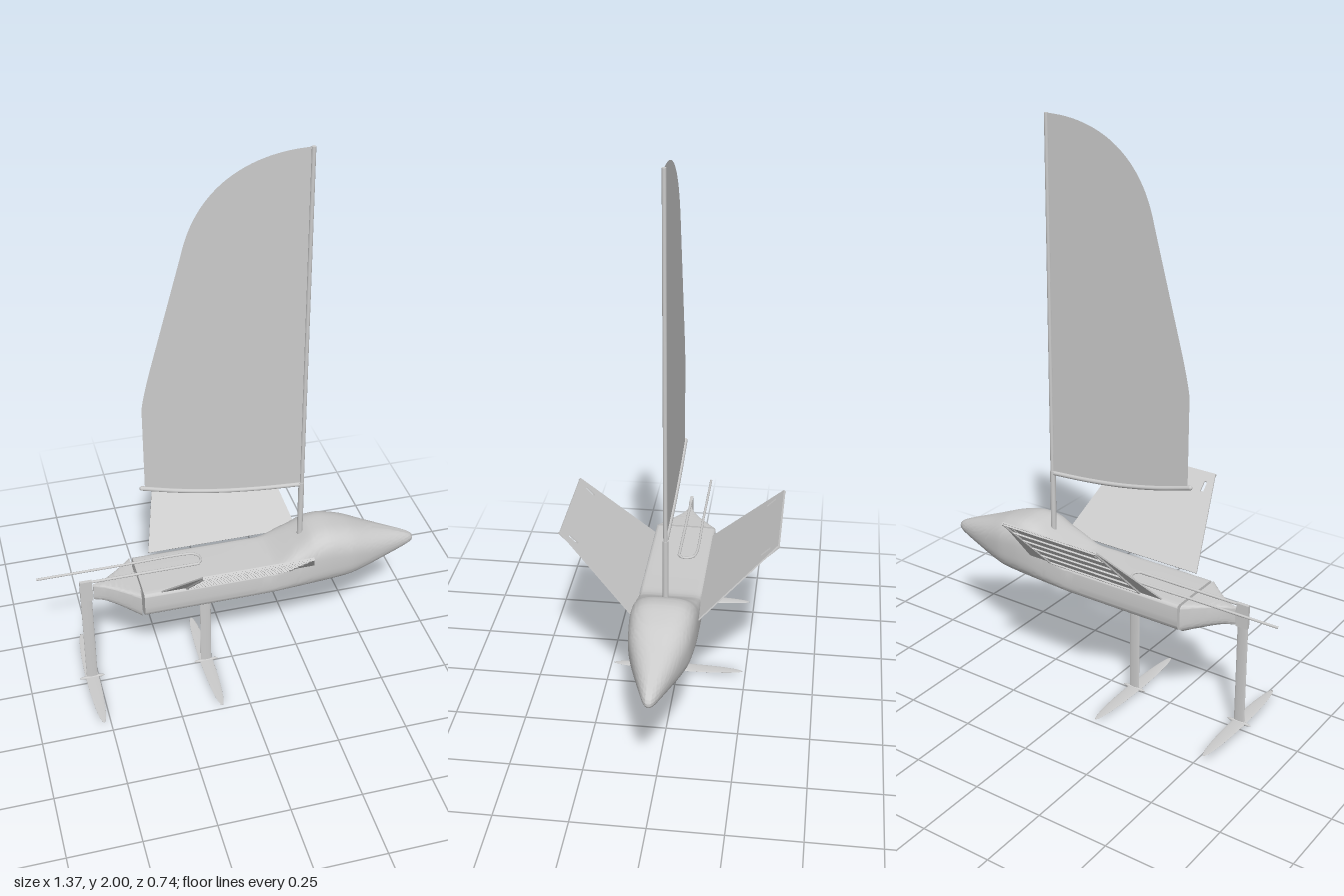
import * as THREE from 'three';
import { toCreasedNormals } from 'three/addons/utils/BufferGeometryUtils.js';

const grey = new THREE.MeshStandardMaterial({ color: 0xcccccc });
const thin = new THREE.MeshStandardMaterial({ color: 0xcccccc, side: THREE.DoubleSide });
const V = (x, y, z = 0) => new THREE.Vector3(x, y, z);

function add(parent, name, geometry, x = 0, y = 0, z = 0, material = grey) {
  const mesh = new THREE.Mesh(geometry, material);
  mesh.name = name;
  mesh.position.set(x, y, z);
  parent.add(mesh);
  return mesh;
}

// Skin through rounded cross-sections along x.
// Station: [x, top, bottom, half width, squareness of top, squareness of bottom]
function loft(stations, steps, sides = 64) {
  const at = (i) => new THREE.CatmullRomCurve3(stations.map(i), false, 'catmullrom', 0.4);
  const a = at((s) => V(s[0], s[1], s[2]));
  const b = at((s) => V(s[3], s[4], s[5]));
  const rings = [];
  for (let i = 0; i <= steps; i++) {
    const p = a.getPoint(i / steps), q = b.getPoint(i / steps);
    const mid = (p.y + p.z) / 2, h = (p.y - p.z) / 2;
    const ring = [];
    for (let j = 0; j < sides; j++) {
      const t = (j / sides) * Math.PI * 2, c = Math.cos(t), s = Math.sin(t);
      const e = 2 / (s > 0 ? q.y : q.z);
      ring.push(V(p.x, mid + h * Math.sign(s) * Math.abs(s) ** e, q.x * Math.sign(c) * Math.abs(c) ** e));
    }
    rings.push({ ring, centre: V(p.x, mid) });
  }
  const tris = [];
  const last = rings[steps];
  for (let j = 0; j < sides; j++) {
    const k = (j + 1) % sides;
    for (let i = 0; i < steps; i++) {
      const r = rings[i].ring, n = rings[i + 1].ring;
      tris.push(r[j], n[j], n[k], r[j], n[k], r[k]);
    }
    tris.push(rings[0].centre, rings[0].ring[j], rings[0].ring[k]);
    tris.push(last.centre, last.ring[k], last.ring[j]);
  }
  return toCreasedNormals(new THREE.BufferGeometry().setFromPoints(tris), 0.6);
}

const tube = (points, radius, segments = 48) =>
  new THREE.TubeGeometry(new THREE.CatmullRomCurve3(points, false, 'centripetal'), segments, radius, 10);

// Vertical strut with a streamlined body and a slim horizontal blade
function addFoil(parent, name, x, y, top, span) {
  const foil = new THREE.Group();
  foil.name = name;
  const strut = new THREE.CylinderGeometry(1, 1, top - y, 24).scale(0.02, 1, 0.004);
  add(foil, 'strut', strut, x, (top + y) / 2);
  add(foil, 'blade', new THREE.SphereGeometry(1, 32, 24).scale(0.024, 0.003, span), x, y);
  add(foil, 'bulb', new THREE.SphereGeometry(1, 24, 16).scale(0.045, 0.007, 0.007), x, y);
  parent.add(foil);
}

// Raised side deck: tapered panel with slots and ribs beneath
function addWing(parent, side) {
  const wing = new THREE.Group();
  wing.name = side > 0 ? 'leftWing' : 'rightWing';
  wing.position.set(0, 0.475, side * 0.108);
  wing.rotation.x = side * Math.PI / 4;
  const length = 0.362;
  const outline = new THREE.Shape([[-0.28, 0], [0.27, 0], [0.18, length], [-0.195, length]].map((p) => new THREE.Vector2(...p)));
  for (const x of [-0.172, 0.157]) {
    outline.holes.push(new THREE.Path([[-1, 0.285], [-1, 0.325], [1, 0.325], [1, 0.285]]
      .map(([s, v]) => new THREE.Vector2(x + s * 0.006, v))));
  }
  const panel = new THREE.ExtrudeGeometry(outline, { depth: 0.005, bevelEnabled: false }).translate(0, 0, -0.0025);
  add(wing, 'wingPanel', panel);
  for (let i = 0; i < 6; i++) {
    add(wing, 'wingRib', new THREE.BoxGeometry(0.375, 0.006, 0.006), -0.0075, 0.006 + i * 0.07, side * 0.005);
  }
  for (const x of [-0.193, 0.178]) {
    add(wing, 'wingSideRail', new THREE.BoxGeometry(0.005, length, 0.006), x, length / 2, side * 0.005);
  }
  parent.add(wing);
}

export function createModel() {
  const boat = new THREE.Group();
  boat.name = 'foilingDinghy';

  // Hull with a flat rear deck and a raised, pointed bow
  add(boat, 'hull', loft([
    [-0.34, 0.47, 0.36, 0.11, 14, 3.6],
    [-0.15, 0.47, 0.36, 0.11, 14, 3.6],
    [0.04, 0.47, 0.36, 0.11, 14, 3.6],
    [0.13, 0.477, 0.36, 0.11, 8, 3.6],
    [0.22, 0.528, 0.36, 0.112, 4, 3.5],
    [0.28, 0.566, 0.36, 0.113, 3.2, 3.4],
    [0.34, 0.575, 0.36, 0.111, 3, 3.2],
    [0.42, 0.558, 0.362, 0.101, 2.7, 3],
    [0.50, 0.527, 0.373, 0.078, 2.4, 2.6],
    [0.60, 0.488, 0.395, 0.044, 2.1, 2.2],
    [0.655, 0.464, 0.411, 0.024, 2, 2],
    [0.676, 0.450, 0.421, 0.012, 2, 2],
    [0.682, 0.438, 0.432, 0.003, 2, 2],
  ], 96), 0, 0, 0);

  // Tapered stern fairing, set off from the hull by a narrow gap
  add(boat, 'sternFairing', loft([
    [-0.50, 0.465, 0.40, 0.004, 10, 3],
    [-0.46, 0.465, 0.393, 0.022, 10, 3],
    [-0.41, 0.467, 0.378, 0.058, 12, 3.3],
    [-0.35, 0.47, 0.36, 0.11, 14, 3.6],
  ], 24));
  add(boat, 'sternJoint', new THREE.BoxGeometry(0.03, 0.06, 0.1), -0.345, 0.415);

  // Side decks
  addWing(boat, 1);
  addWing(boat, -1);

  // Main foil and rudder
  addFoil(boat, 'mainFoil', -0.10, 0.009, 0.38, 0.24);
  addFoil(boat, 'rudder', -0.527, 0.031, 0.48, 0.235);
  add(boat, 'rudderHead', new THREE.BoxGeometry(0.044, 0.086, 0.012), -0.525, 0.442);

  // Tiller and its hooked extension
  add(boat, 'tiller', tube([V(-0.54, 0.479), V(-0.12, 0.479)], 0.005, 4));
  add(boat, 'tillerExtension', tube([
    V(-0.688, 0.48, -0.06), V(-0.4, 0.48, -0.06), V(-0.145, 0.48, -0.06), V(-0.122, 0.48, -0.052),
    V(-0.11, 0.48, -0.035), V(-0.11, 0.48, -0.015), V(-0.125, 0.48, 0),
  ], 0.0045, 64));

  // Mast
  add(boat, 'mast', new THREE.CylinderGeometry(0.007, 0.007, 1.48, 16), 0.25, 1.26);
  add(boat, 'mastFoot', new THREE.CylinderGeometry(0.01, 0.01, 0.25, 16), 0.248, 0.64);

  // Sail with a rounded head
  const sail = new THREE.Shape();
  sail.moveTo(0.25, 0.755);
  sail.lineTo(0.25, 2.0);
  sail.lineTo(0.2, 1.998);
  sail.bezierCurveTo(0.02, 1.985, -0.115, 1.89, -0.16, 1.70);
  sail.lineTo(-0.268, 1.31);
  sail.quadraticCurveTo(-0.295, 1.21, -0.302, 1.16);
  sail.lineTo(-0.302, 0.845);
  sail.quadraticCurveTo(-0.05, 0.773, 0.25, 0.755);
  add(boat, 'sail', new THREE.ShapeGeometry(sail, 32), 0, 0, 0, thin);

  // Curved boom along the foot of the sail
  add(boat, 'boom', tube([V(-0.312, 0.847), V(-0.18, 0.812), V(-0.04, 0.785), V(0.1, 0.768), V(0.25, 0.757)], 0.008));
  for (const [x, y] of [[-0.312, 0.847], [0.25, 0.757]]) {
    add(boat, 'boomEnd', new THREE.SphereGeometry(0.008, 12, 8), x, y);
  }
  return boat;
}
